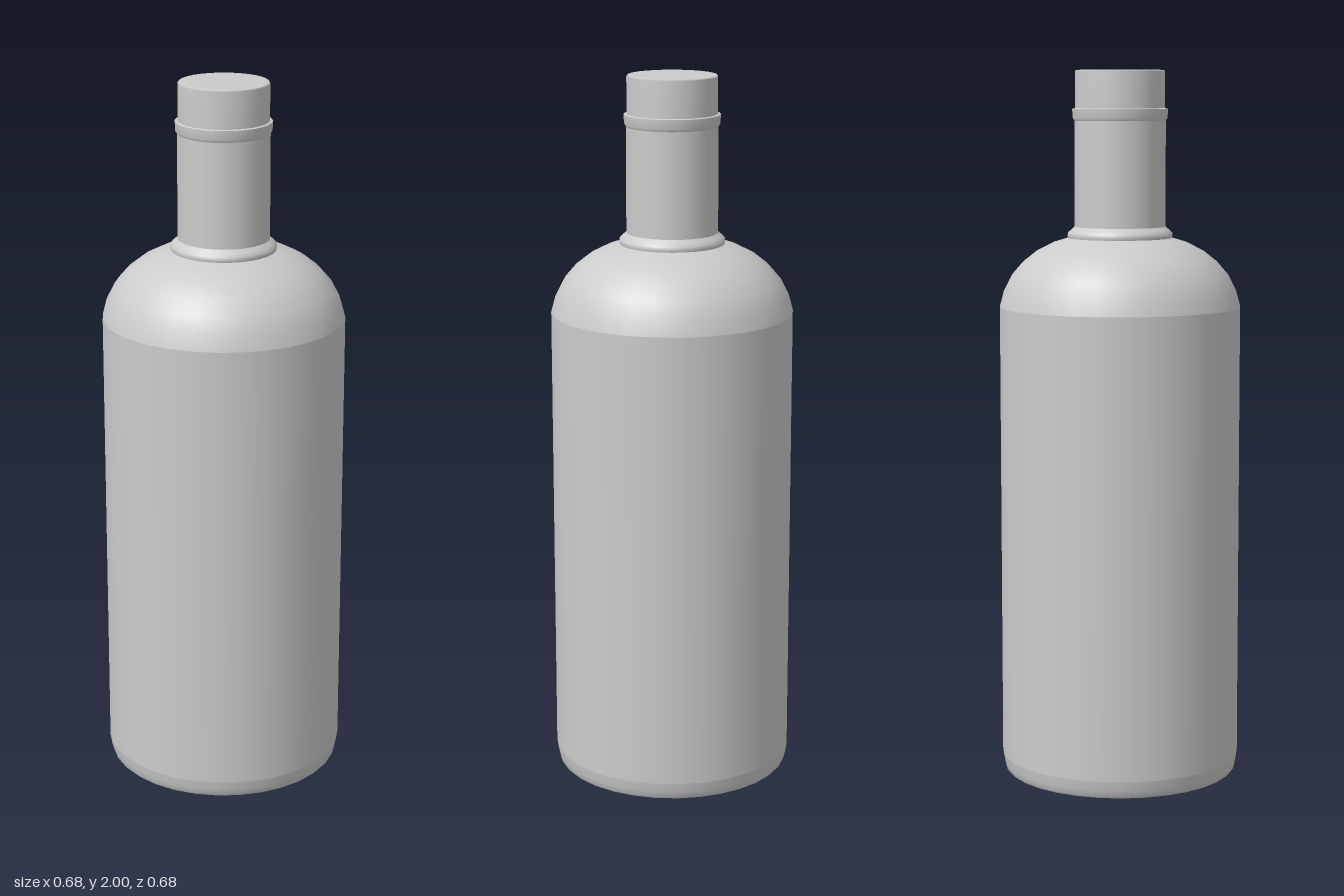
import * as THREE from 'three';

const SIDES = 32;

export function createModel() {
  const bottle = new THREE.Group();
  bottle.name = 'bottle';
  const material = new THREE.MeshStandardMaterial({ color: 0xcccccc });

  // Each part is turned from a [radius, height] profile, listed bottom to top
  const turn = (name, profile) => {
    const points = profile.map(([r, y]) => new THREE.Vector2(r, y));
    const mesh = new THREE.Mesh(new THREE.LatheGeometry(points, SIDES), material);
    mesh.name = name;
    bottle.add(mesh);
  };

  // Flat underside and the rounded edge around it
  turn('base', [[0, 0], [0.325, 0]]);
  turn('baseEdge', [[0.325, 0], [0.331, 0.006], [0.336, 0.025], [0.34, 0.05]]);

  // Straight wall
  turn('body', [[0.34, 0.05], [0.34, 1.34]]);

  // Domed shoulder
  turn('shoulder', [
    [0.34, 1.34], [0.328, 1.385], [0.305, 1.43], [0.273, 1.467],
    [0.235, 1.497], [0.19, 1.52], [0.14, 1.535], [0.125, 1.538],
  ]);

  // Small ring where the neck meets the shoulder
  turn('neckRing', [[0.145, 1.53], [0.148, 1.538], [0.147, 1.548], [0.138, 1.556], [0.128, 1.565]]);

  // Neck, flaring into a narrow lip
  turn('neck', [[0.128, 1.54], [0.128, 1.86]]);
  turn('lip', [[0.127, 1.858], [0.133, 1.868], [0.134, 1.893]]);
  turn('lipTop', [[0.134, 1.893], [0.124, 1.895]]);

  // Stopper with a softly shaded top edge
  turn('stopper', [[0.126, 1.89], [0.126, 1.996], [0.123, 2], [0.105, 2], [0, 2]]);

  return bottle;
}
